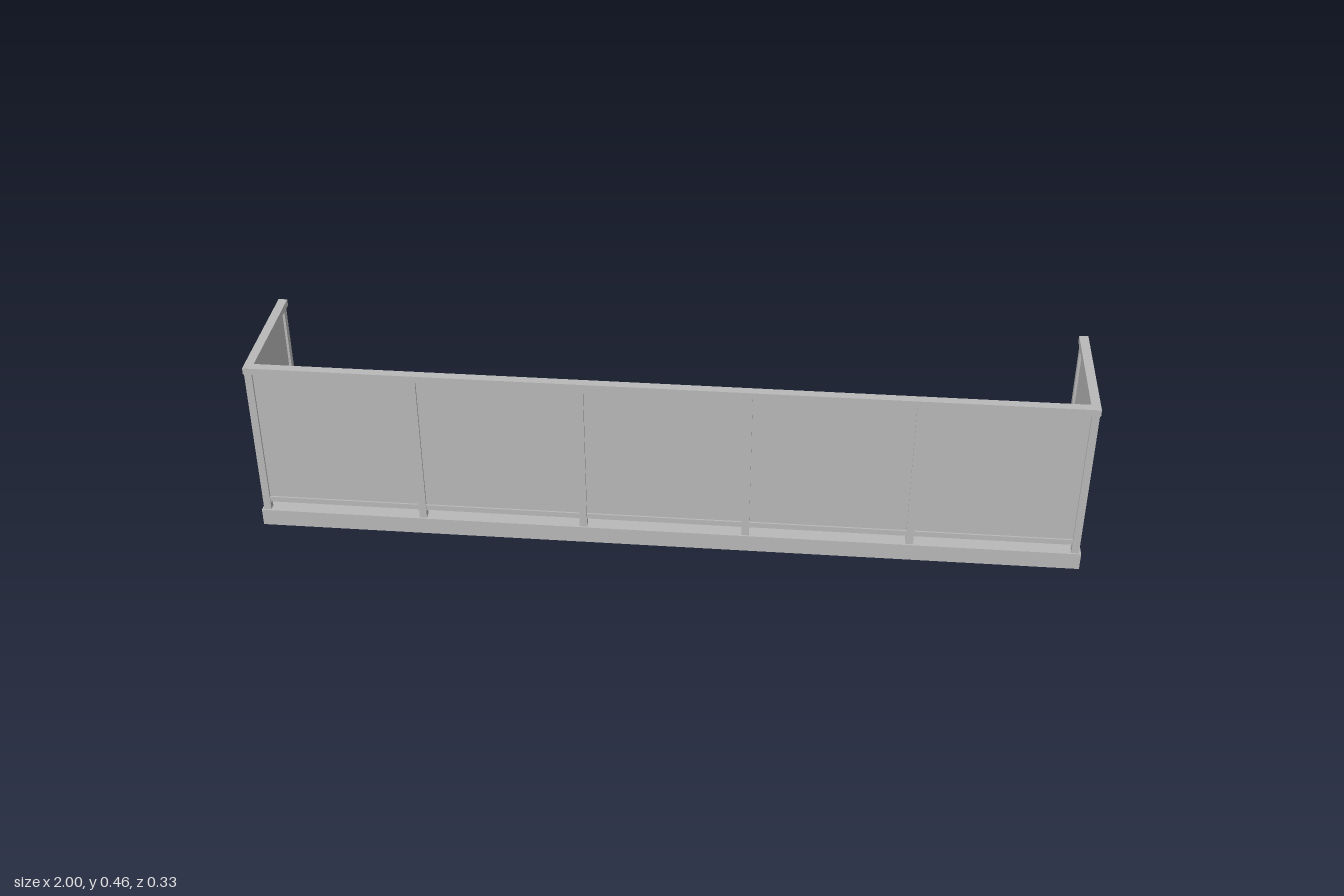
import * as THREE from 'three';

// Long balcony: slab, posts, rails on three sides and thin infill panels
export function createModel() {
  const group = new THREE.Group();
  const grey = new THREE.MeshStandardMaterial({ color: 0xb8b8b8 });
  grey.name = 'grey';

  // Box given by its minimum and maximum corners
  function box(name, [x0, y0, z0], [x1, y1, z1]) {
    const mesh = new THREE.Mesh(new THREE.BoxGeometry(x1 - x0, y1 - y0, z1 - z0), grey);
    mesh.position.set((x0 + x1) / 2, (y0 + y1) / 2, (z0 + z1) / 2);
    mesh.name = name;
    group.add(mesh);
  }

  const floor = 0.044, low = 0.067, panelBottom = 0.081, panelTop = 0.438, top = 0.455;
  const zFront = 0.152, xSide = 0.986, half = 0.009, backEnd = -0.164;

  box('floorSlab', [-1, 0, -0.165], [1, floor, 0.165]);

  // Front posts, with a panel in each bay
  const xs = [-xSide, -0.596, -0.2, 0.195, 0.591, xSide];
  xs.forEach((x, i) => {
    box('frontPost', [x - half, floor, zFront - half], [x + half, panelTop, zFront + half]);
    if (i > 0) {
      box('frontPanel', [xs[i - 1] + half, panelBottom, zFront - 0.003],
        [x - half, panelTop, zFront + 0.003]);
      box('frontBottomRail', [xs[i - 1] + half, low, zFront - 0.007],
        [x - half, panelBottom, zFront + 0.007]);
    }
  });
  box('frontTopRail', [-0.997, panelTop, 0.141], [0.997, top, 0.163]);

  // Mirrored ends: back post, rails running past it, and a panel
  for (const s of [-1, 1]) {
    const x = s * xSide;
    box('backPost', [x - half, floor, -0.153], [x + half, panelTop, -0.135]);
    box('sideTopRail', [x - 0.011, panelTop, backEnd], [x + 0.011, top, 0.141]);
    box('sideBottomRail', [x - 0.007, low, backEnd], [x + 0.007, panelBottom, zFront - half]);
    box('sidePanel', [x - 0.003, panelBottom, -0.135], [x + 0.003, panelTop, zFront - half]);
  }
  return group;
}
